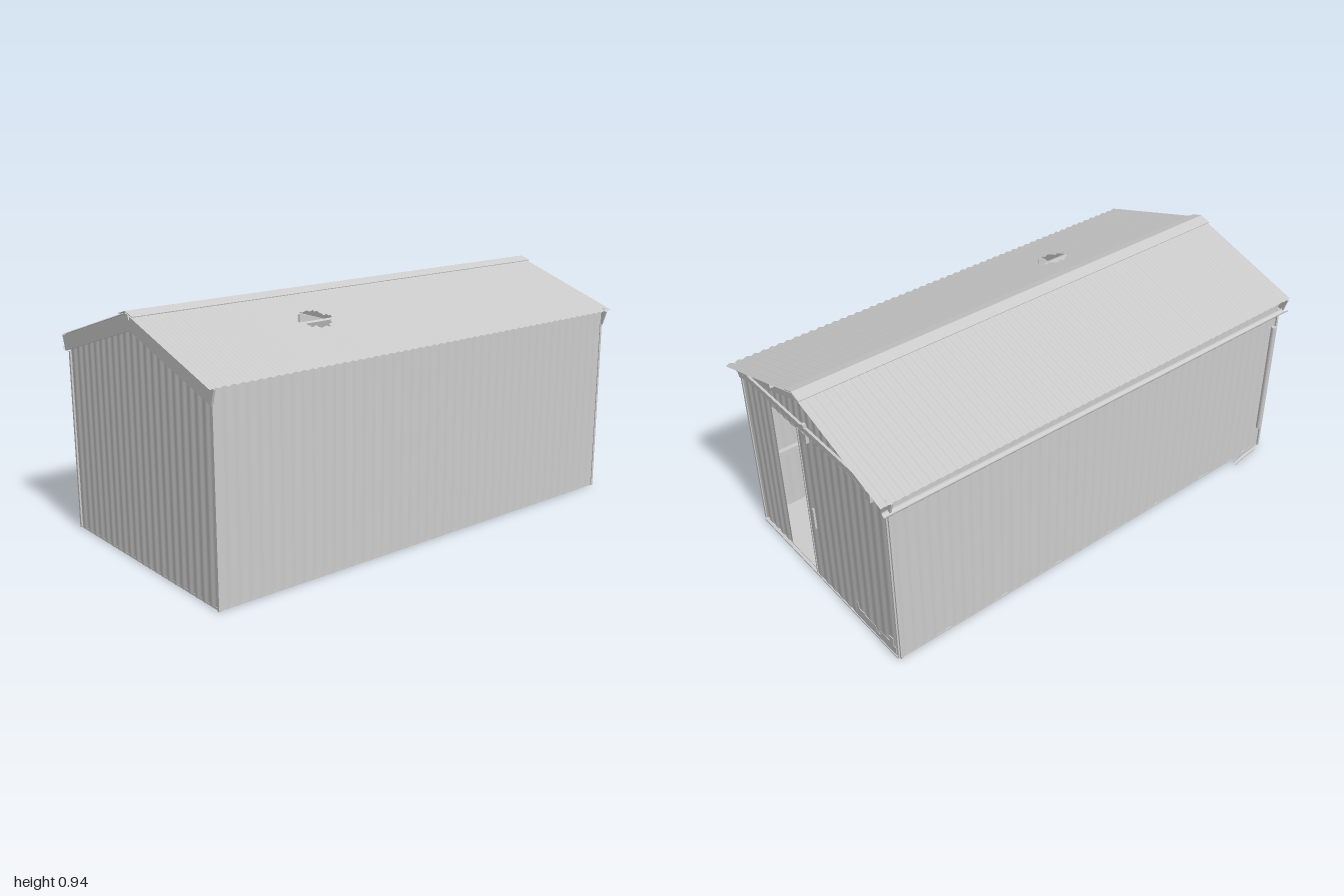
import * as THREE from 'three';

const grey = new THREE.MeshStandardMaterial({ color: 0xcccccc, side: THREE.DoubleSide });
const V = (x, y, z) => new THREE.Vector3(x, y, z);

function add(parent, name, geometry, x = 0, y = 0, z = 0) {
  const mesh = new THREE.Mesh(geometry, grey);
  mesh.name = name;
  mesh.position.set(x, y, z);
  parent.add(mesh);
  return mesh;
}

const box = (parent, name, w, h, d, x, y, z) => add(parent, name, new THREE.BoxGeometry(w, h, d), x, y, z);

// Square timber from a to b: w across, h deep
function beam(parent, name, a, b, w, h) {
  const mesh = box(parent, name, w, h, a.distanceTo(b), (a.x + b.x) / 2, (a.y + b.y) / 2, (a.z + b.z) / 2);
  mesh.quaternion.setFromRotationMatrix(new THREE.Matrix4().lookAt(b, a, V(0, 1, 0)));
}

// Corrugated sheet from u0 to u1; bottom and top edges follow functions of u, holes are left out
function sheet(parent, name, u0, u1, bottom, top, { wave = 0.045, amp = 0.002, rows = 1, hole = null } = {}) {
  const cols = Math.ceil((u1 - u0) / wave) * 6;
  const geometry = new THREE.PlaneGeometry(1, 1, cols, rows);
  const p = geometry.attributes.position;
  for (let i = 0; i < p.count; i++) {
    const u = u0 + (p.getX(i) + 0.5) * (u1 - u0);
    const v = p.getY(i) + 0.5;
    p.setXYZ(i, u, bottom(u) + v * (top(u) - bottom(u)), amp * Math.cos(u / wave * Math.PI * 2));
  }
  if (hole) {
    const old = geometry.index.array, kept = [];
    for (let i = 0; i < old.length; i += 6) {
      const a = old[i], c = old[i + 4];
      if (!hole((p.getX(a) + p.getX(c)) / 2, (p.getY(a) + p.getY(c)) / 2)) kept.push(...old.slice(i, i + 6));
    }
    geometry.setIndex(kept);
  }
  geometry.computeVertexNormals();
  return add(parent, name, geometry);
}

export function createModel() {
  const shed = new THREE.Group();
  shed.name = 'corrugatedShed';
  const X0 = -0.975, X1 = 0.95, ZF = 0.493, ZB = -0.48;
  const at = h => () => h;
  const roofY = z => 0.932 - 0.32 * Math.abs(z);

  box(shed, 'floor', X1 - X0, 0.008, ZF - ZB, (X0 + X1) / 2, 0.007, (ZF + ZB) / 2);

  // Long walls
  sheet(shed, 'frontWall', X0, X1, at(0.003), at(0.772)).position.z = ZF;
  const back = sheet(shed, 'backWall', -X1, -X0, u => 0.004 + 0.012 * Math.max(0, Math.sin(u * 23)), at(0.772));
  back.position.z = ZB;
  back.rotation.y = Math.PI;

  // End walls, with a wide doorway at the +x end
  const endA = new THREE.Group();
  endA.name = 'doorEnd';
  endA.position.x = X1;
  endA.rotation.y = Math.PI / 2;
  shed.add(endA);
  sheet(endA, 'wallBesideDoorway', -ZF, -0.277, at(0.003), roofY);
  sheet(endA, 'wallBehindDoor', 0.277, -ZB, at(0.003), roofY);
  sheet(endA, 'wallOverDoorway', -0.277, 0.277, at(0.7), roofY);
  const endB = sheet(shed, 'plainEndWall', ZB, ZF, at(0.003), roofY);
  endB.position.x = X0;
  endB.rotation.y = -Math.PI / 2;

  // Corner trims
  for (const x of [X0, X1]) for (const z of [ZF, ZB])
    box(shed, 'cornerTrim', 0.01, 0.71, 0.01, x, 0.358, z);

  // Roof slopes; the front one has a torn hole
  const tear = (x, y) => Math.abs(y - 0.305) < 0.065 * (1 - ((x + 0.355) / 0.075) ** 2);
  for (const side of [1, -1]) {
    const half = new THREE.Group();
    half.name = side > 0 ? 'frontRoof' : 'backRoof';
    half.rotation.y = side > 0 ? 0 : Math.PI;
    shed.add(half);
    const roof = sheet(half, 'roofSheet', -0.998, 0.998, at(0), at(0.541),
      { wave: 0.035, amp: 0.003, rows: 40, hole: side > 0 ? tear : null });
    roof.position.set(0, 0.773, 0.515);
    roof.rotation.x = 0.31 - Math.PI / 2;
    beam(half, 'ridgeCap', V(0, 0.927, 0.046), V(0, 0.941, 0), 1.998, 0.003);

    // Purlins run through and stick out under the overhang
    for (const [y, z] of [[0.907, 0.012], [0.842, 0.222], [0.772, 0.44]])
      box(half, 'purlin', 1.95, 0.034, 0.014, 0, y, z).rotation.x = 0.31;
    // Bargeboards and rafters
    for (const x of [-0.982, 0.956].map(v => v * side))
      beam(half, 'bargeboard', V(x, 0.741, 0.508), V(x, 0.903, 0), 0.008, 0.06);
    for (const x of [-0.5, 0.1].map(v => v * side))
      beam(half, 'rafter', V(x, 0.74, 0.46), V(x, 0.89, 0), 0.025, 0.03);
  }

  // Inside frame: tie beams, posts and wall rails
  for (const x of [-0.5, 0.1]) {
    box(shed, 'tieBeam', 0.025, 0.03, 0.96, x, 0.745, 0.005);
    for (const z of [ZF - 0.018, ZB + 0.018]) box(shed, 'post', 0.025, 0.74, 0.025, x, 0.375, z);
  }
  for (const y of [0.295, 0.555, 0.7]) {
    for (const z of [ZF - 0.016, ZB + 0.016]) box(shed, 'wallRail', 1.9, 0.03, 0.02, -0.012, y, z);
    box(shed, 'endWallRail', 0.02, 0.03, 0.94, X0 + 0.016, y, 0.005);
  }

  // Sliding door on its rail
  const door = new THREE.Group();
  door.name = 'slidingDoor';
  shed.add(door);
  const leaf = sheet(door, 'doorSheet', -0.078, 0.48, at(0.012), at(0.725), { wave: 0.05, amp: 0.0015 });
  leaf.position.x = 0.96;
  leaf.rotation.y = Math.PI / 2;
  box(door, 'handle', 0.008, 0.095, 0.01, 0.964, 0.327, 0.031);
  for (const z of [0.075, -0.477]) box(door, 'doorStile', 0.006, 0.713, 0.006, 0.959, 0.368, z);
  box(door, 'doorRail', 0.01, 0.024, 1.0, 0.969, 0.767, 0);
  for (const z of [0, -0.4]) {
    box(door, 'hanger', 0.012, 0.04, 0.028, 0.97, 0.735, z);
    box(door, 'hangerWheel', 0.014, 0.014, 0.014, 0.97, 0.785, z);
  }
  box(door, 'railStop', 0.014, 0.014, 0.014, 0.97, 0.785, 0.395);
  box(door, 'sill', 0.014, 0.006, 0.96, 0.956, 0.005, 0.005);

  // Ragged kick plate on the door
  const rag = new THREE.Shape([[0.215, 0.018], [0.468, 0.018], [0.468, 0.055], [0.455, 0.055], [0.455, 0.09],
    [0.43, 0.09], [0.43, 0.06], [0.37, 0.06], [0.37, 0.04], [0.34, 0.04], [0.34, 0.06], [0.27, 0.06],
    [0.27, 0.065], [0.23, 0.065], [0.23, 0.09], [0.215, 0.09]].map(([u, y]) => new THREE.Vector2(u, y)));
  const plate = add(door, 'kickPlate', new THREE.ExtrudeGeometry(rag, { depth: 0.002, bevelEnabled: false }), 0.962);
  plate.rotation.y = Math.PI / 2;

  // Slatted pallet standing inside the doorway
  const pallet = new THREE.Group();
  pallet.name = 'pallet';
  pallet.position.set(0.5, 0, 0.1);
  shed.add(pallet);
  for (let i = 0; i < 9; i++) box(pallet, 'palletSlat', 0.012, 0.36, 0.024, 0, 0.2, 0.135 - i * 0.034);
  for (const y of [0.068, 0.36]) box(pallet, 'palletBar', 0.03, 0.028, 0.36, 0.02, y, 0.01);

  // Drums; the one by the door has sunk through the floor
  const profile = [[0, 0], [0.07, 0], [0.07, 0.09], [0.074, 0.095], [0.07, 0.1], [0.07, 0.18],
    [0.074, 0.185], [0.07, 0.19], [0.07, 0.27], [0, 0.27]].map(([r, y]) => new THREE.Vector2(r, y));
  for (const [x, y, z] of [[0.76, 0.001, -0.29], [0.58, 0.012, -0.32]])
    add(shed, 'drum', new THREE.LatheGeometry(profile, 24), x, y, z);

  // Gutter at the back, dropping to the downpipe, and a loose spout
  const gutter = add(shed, 'gutter', new THREE.CylinderGeometry(0.013, 0.013, 1.97, 12, 1, true, 0, Math.PI), 0, 0.73, -0.508);
  gutter.rotation.z = -Math.PI / 2 + 0.005;
  add(shed, 'downpipe', new THREE.CylinderGeometry(0.011, 0.011, 0.52, 12), -0.94, 0.39, -0.498);
  const spout = new THREE.CatmullRomCurve3([V(-0.93, 0.011, -0.495), V(-0.85, 0.011, -0.502), V(-0.79, 0.011, -0.512)]);
  add(shed, 'looseSpout', new THREE.TubeGeometry(spout, 8, 0.008, 10));

  return shed;
}
